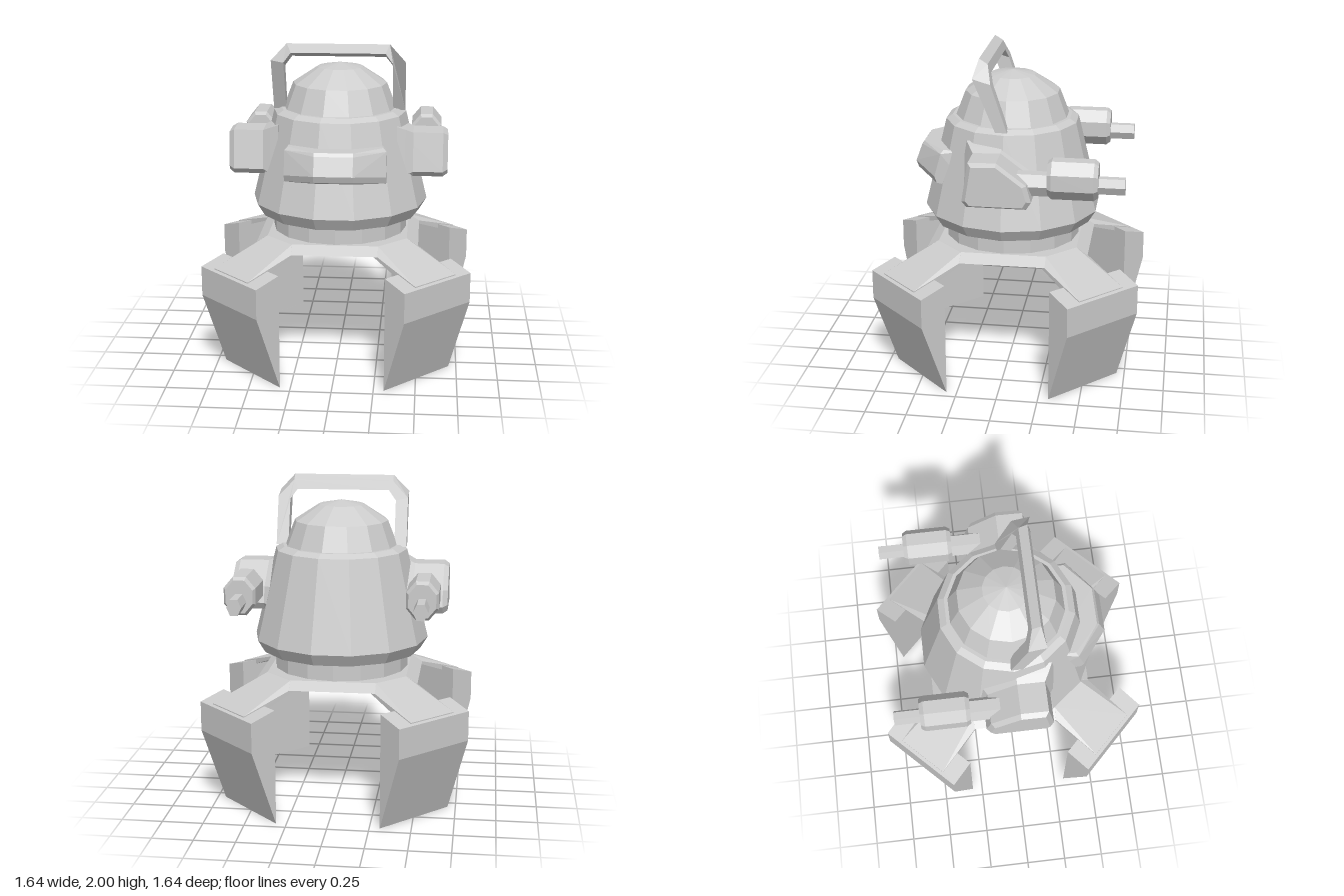
import * as THREE from 'three';
import { ConvexGeometry } from 'three/addons/geometries/ConvexGeometry.js';

const grey = new THREE.MeshStandardMaterial({ color: 0xcccccc, flatShading: true, side: THREE.DoubleSide });
const V = (x, y, z) => new THREE.Vector3(x, y, z);

function add(parent, name, geometry) {
  const mesh = new THREE.Mesh(geometry, grey);
  mesh.name = name;
  parent.add(mesh);
  return mesh;
}

const hull = (points) => new ConvexGeometry(points);

// Faceted solid of revolution with a flat side at the front
function turned(profile, sides) {
  const g = new THREE.LatheGeometry(profile.map(([r, y]) => new THREE.Vector2(r, y)), sides);
  return g.rotateY(Math.PI / sides);
}

// Bar along z with chamfered ends: w wide, h high
function bar(sides, w, h, z0, z1, chamfer) {
  const pts = [];
  const c = Math.cos(Math.PI / sides);
  for (const [z, s] of [[z0, 1 - chamfer], [z0 - 0.025, 1], [z1 + 0.025, 1], [z1, 1 - chamfer]]) {
    for (let i = 0; i < sides; i++) {
      const a = ((i + 0.5) / sides) * Math.PI * 2;
      const rx = sides === 6 ? 1 : c;
      pts.push(V(Math.sin(a) * w / 2 / rx * s, Math.cos(a) * h / 2 / c * s, z));
    }
  }
  return hull(pts);
}

function makeLeg() {
  const leg = new THREE.Group();
  leg.name = 'leg';
  // Sloping arm, narrower on top where it meets the hub
  const arm = [];
  for (const s of [-1, 1]) {
    arm.push(V(s * 0.12, 0.82, 0.486), V(s * 0.17, 0.775, 0.535), V(s * 0.17, 0.775, 0.48),
      V(s * 0.168, 0.677, 0.863), V(s * 0.168, 0.63, 0.863));
  }
  add(leg, 'legArm', hull(arm));
  // Wedge-shaped foot
  const foot = [];
  for (const s of [-0.275, 0.275]) {
    for (const [r, y] of [[0.717, 0], [0.884, 0.48], [0.884, 0.665], [0.717, 0.713]]) foot.push(V(s, y, r));
  }
  add(leg, 'legFoot', hull(foot));
  return leg;
}

function makeSidePod(side) {
  const pod = new THREE.Group();
  pod.name = side > 0 ? 'leftPod' : 'rightPod';
  const outline = [[0.17, 1.21], [0.195, 1.24], [0.16, 1.455], [0.01, 1.46], [-0.15, 1.34], [-0.175, 1.25], [-0.15, 1.21]];
  const ring = (x, s) => outline.map(([z, y]) => V(side * x, 1.33 + (y - 1.33) * s, 0.01 + (z - 0.01) * s));
  add(pod, 'podHousing', hull([...ring(0.38, 1.1), ...ring(0.64, 1.1), ...ring(0.67, 0.96)]));
  add(pod, 'podFlange', hull([...ring(0.36, 1.45), ...ring(0.41, 1.28), ...ring(0.47, 1.06)]));
  // Stepped barrel pointing to the rear
  const parts = [
    ['barrelArm', 6, 0.14, 0.13, 0, -0.31, 1.325, 0],
    ['barrelBody', 8, 0.19, 0.23, -0.28, -0.575, 1.362, 0.15],
    ['barrelTip', 6, 0.088, 0.095, -0.55, -0.73, 1.332, 0],
  ];
  for (const [name, n, w, h, z0, z1, y, ch] of parts) {
    add(pod, name, bar(n, w, h, z0, z1, ch)).position.set(side * 0.537, y, 0);
  }
  return pod;
}

function makeHandle() {
  const outer = [[-0.405, 1.58], [-0.405, 1.9], [-0.31, 2], [0.31, 2], [0.405, 1.9], [0.405, 1.58]];
  const inner = [[0.33, 1.58], [0.33, 1.885], [0.285, 1.945], [-0.285, 1.945], [-0.33, 1.885], [-0.33, 1.58]];
  const shape = new THREE.Shape([...outer, ...inner].map(([x, y]) => new THREE.Vector2(x, y)));
  const g = new THREE.ExtrudeGeometry(shape, { depth: 1, bevelEnabled: false });
  // Lean forward; the front face bends upright near the top
  const p = g.attributes.position;
  for (let i = 0; i < p.count; i++) {
    const y = p.getY(i);
    if (p.getZ(i) > 0.5) {
      p.setZ(i, y > 1.9 ? 0.185 - 0.28 * (y - 1.9) : 0.05 + 0.42 * (y - 1.58));
    } else {
      p.setY(i, y - (y > 1.7 ? 0.032 : 0));
      p.setZ(i, -0.02 + 0.3 * (y - 1.58));
    }
  }
  g.computeVertexNormals();
  return g;
}

export function createModel() {
  const model = new THREE.Group();
  model.name = 'walkerRobot';

  // Hub: flat octagon with sloping rim
  const hub = [];
  for (const [y, a] of [[0.82, 0.43], [0.775, 0.5]]) {
    for (const sx of [-1, 1]) for (const sz of [-1, 1]) {
      hub.push(V(sx * a, y, sz * 0.26), V(sx * 0.26, y, sz * a));
    }
  }
  add(model, 'hub', hull(hub));

  for (let i = 0; i < 4; i++) {
    const leg = makeLeg();
    leg.rotation.y = Math.PI / 4 + i * Math.PI / 2;
    model.add(leg);
  }

  const neck = new THREE.CylinderGeometry(0.42, 0.42, 0.16, 16);
  add(model, 'neck', neck).position.y = 0.87;

  // Tapered body and dome
  add(model, 'body', turned([[0, 0.935], [0.5, 0.935], [0.545, 1.01], [0.41, 1.565], [0.37, 1.59], [0, 1.59]], 14));
  add(model, 'dome', turned([[0.35, 1.585], [0.29, 1.74], [0.14, 1.838], [0, 1.865]], 14));
  add(model, 'handle', makeHandle());

  // Wraparound visor
  const visor = [];
  const section = [[0.38, 1.42], [0.535, 1.42], [0.55, 1.4], [0.59, 1.29], [0.575, 1.25], [0.38, 1.185]];
  for (const s of [-1, 1]) {
    for (const [z, y] of section) {
      visor.push(V(s * 0.115, y, z));
      visor.push(V(s * (y > 1.41 ? 0.285 : 0.305), y > 1.35 ? y : Math.max(y - 0.035, 1.185), z - 0.15));
    }
  }
  add(model, 'visor', hull(visor));

  model.add(makeSidePod(1), makeSidePod(-1));
  return model;
}
